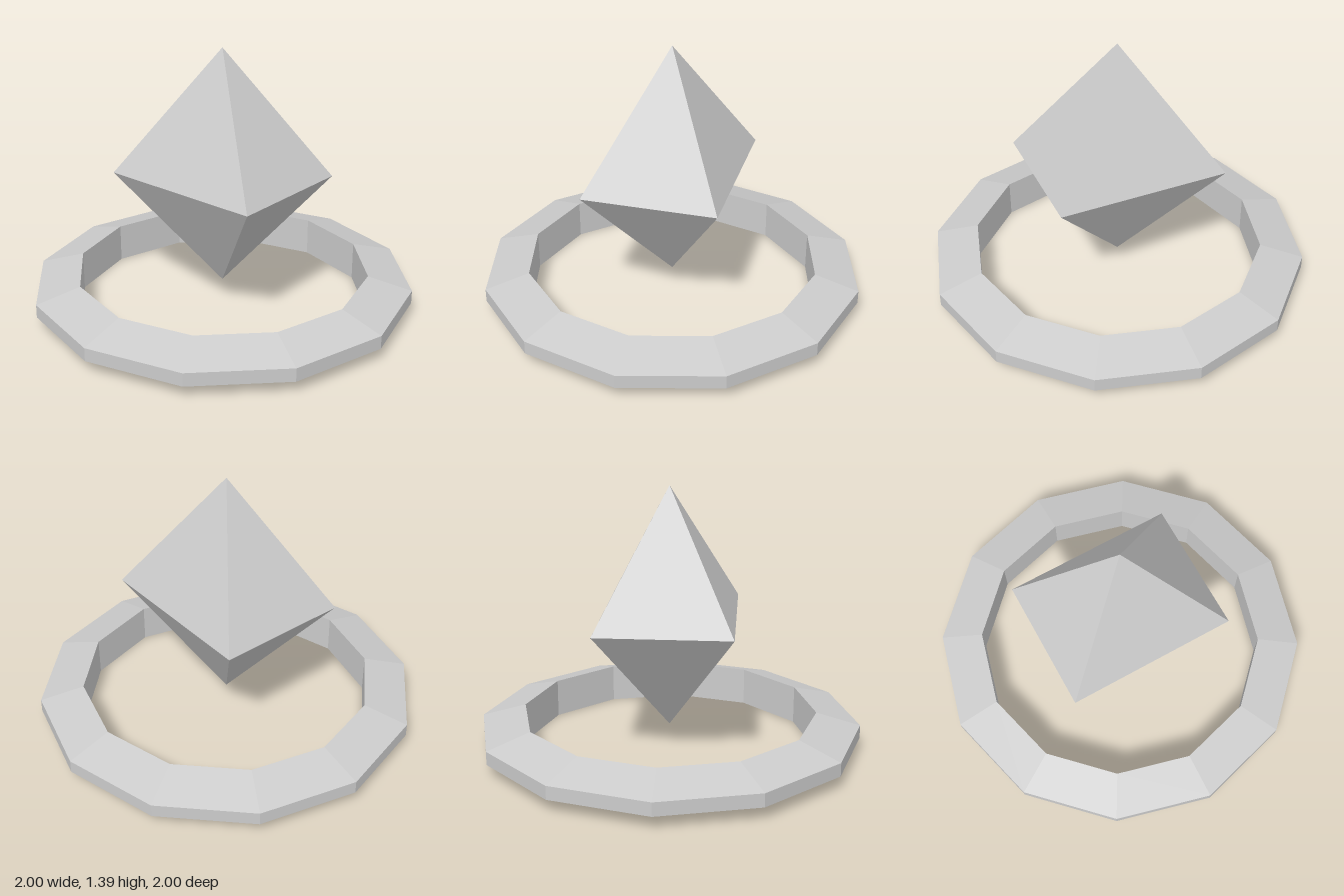
import * as THREE from 'three';

const material = new THREE.MeshStandardMaterial({ color: 0xcccccc, flatShading: true });

// Faceted solid turned from [radius, height] pairs
function turned(name, profile, sides, phiStart = 0) {
  const points = profile.map(([r, y]) => new THREE.Vector2(r, y));
  const mesh = new THREE.Mesh(new THREE.LatheGeometry(points, sides, phiStart), material);
  mesh.name = name;
  return mesh;
}

export function createModel() {
  const model = new THREE.Group();
  model.name = 'floatingCrystal';

  // Twelve-sided base ring, thin at its outer rim
  model.add(turned('baseRing', [
    [0.77, 0], [1, 0.07], [1, 0.14], [0.77, 0.205], [0.77, 0],
  ], 12));

  // Four-sided double pyramid on a rectangular waist
  const crystal = turned('crystal', [
    [0, 0.12], [Math.SQRT2, 0.72], [0, 1.39],
  ], 4, Math.PI / 4);
  crystal.geometry.scale(0.345, 1, 0.445);
  model.add(crystal);

  return model;
}
